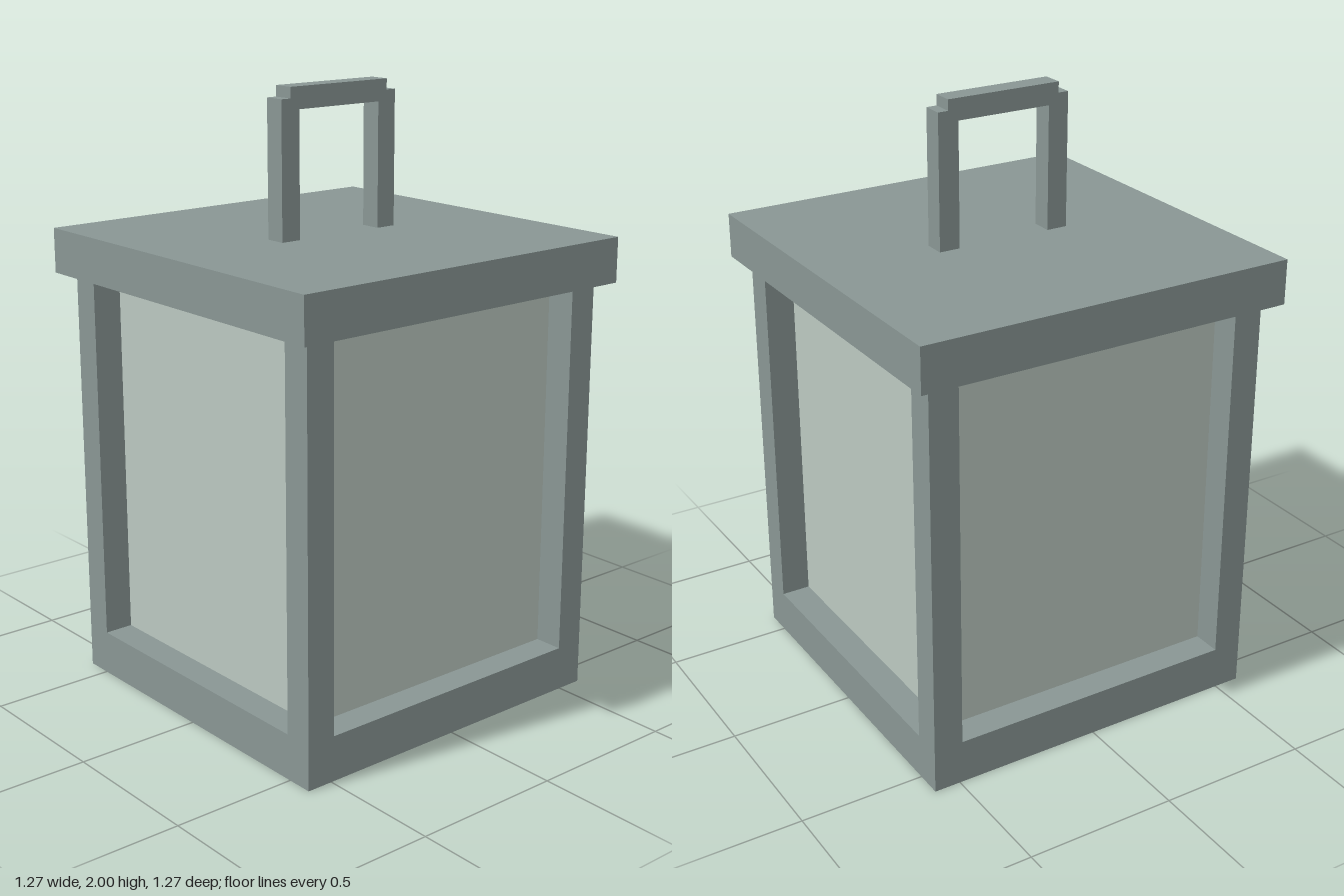
import * as THREE from 'three';

export function createModel() {
  const model = new THREE.Group();
  model.name = 'lantern';

  const metal = new THREE.MeshStandardMaterial({ color: 0x899694 });
  metal.name = 'greyMetal';
  const glass = new THREE.MeshStandardMaterial({ color: 0xbbc8c0 });
  glass.name = 'paleGlass';

  // Box from its centre x, z, its bottom and top heights, and its width and depth
  function box(name, material, x, z, bottom, top, width, depth) {
    const mesh = new THREE.Mesh(new THREE.BoxGeometry(width, top - bottom, depth), material);
    mesh.position.set(x, (bottom + top) / 2, z);
    mesh.name = name;
    model.add(mesh);
  }

  const baseTop = 0.148, lidBottom = 1.378, lidTop = 1.525;
  const bodyWidth = 1.176, post = 0.098, bar = 0.07;

  // Body
  box('base', metal, 0, 0, 0, baseTop, bodyWidth, bodyWidth);
  box('lid', metal, 0, 0, lidBottom, lidTop, 1.275, 1.275);
  const glassWidth = bodyWidth - 2 * post;
  box('glassPanes', glass, 0, 0, baseTop, lidBottom, glassWidth, glassWidth);

  // Corner posts
  const corner = (bodyWidth - post) / 2;
  for (const sx of [-1, 1]) {
    for (const sz of [-1, 1]) {
      box('cornerPost', metal, sx * corner, sz * corner, baseTop, lidBottom, post, post);
    }
  }

  // Carrying handle: the grip sits slightly above its uprights
  for (const sx of [-1, 1]) {
    box('handleUpright', metal, sx * 0.196, 0, lidTop, 1.965, bar, bar);
  }
  box('handleGrip', metal, 0, 0, 1.93, 2, 0.392, bar);

  return model;
}
